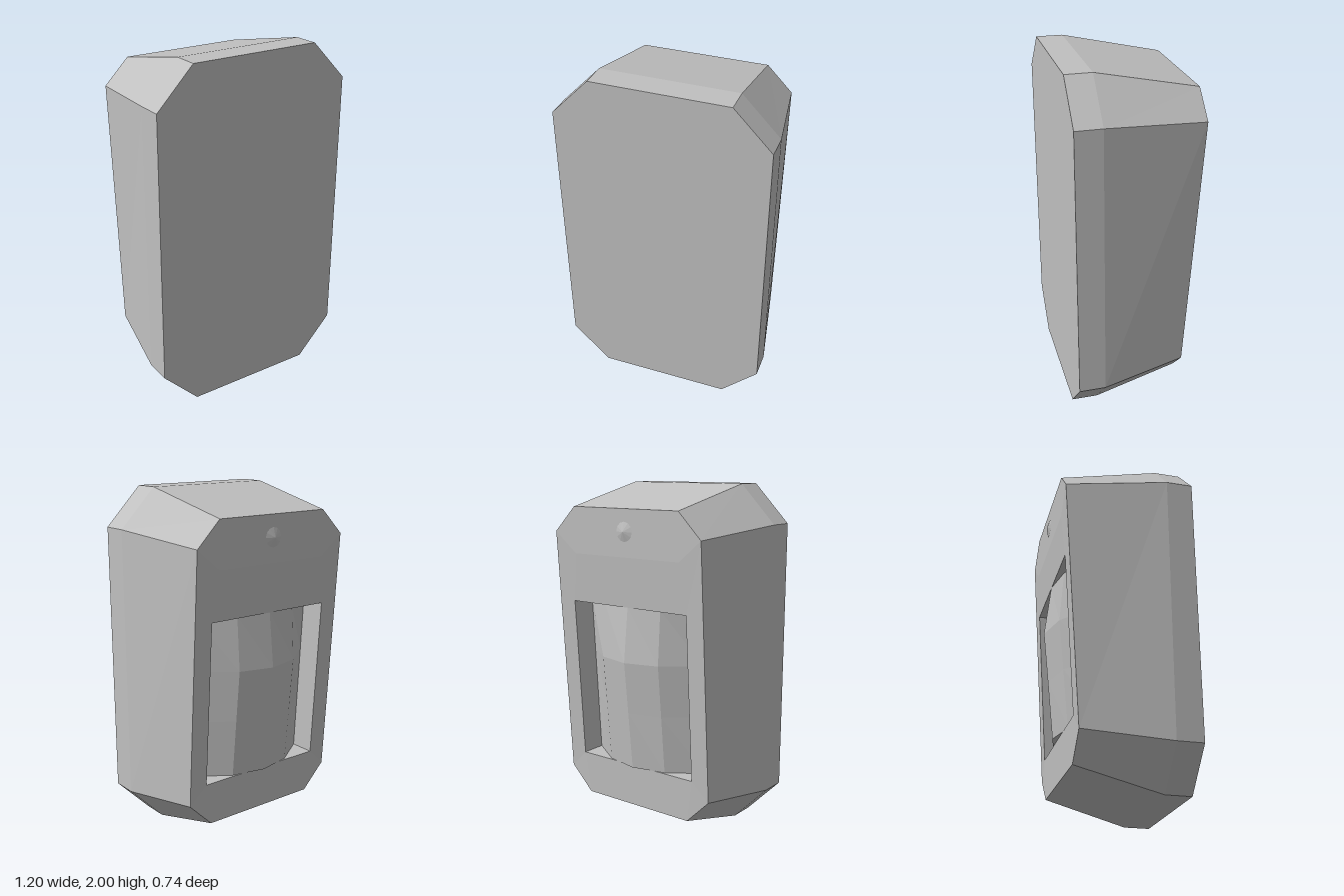
import * as THREE from 'three';

const casing = new THREE.MeshStandardMaterial({ color: 0xc0c0c0, flatShading: true });
casing.name = 'light grey plastic';

// Turns polygons (lists of corner points) into one faceted mesh
function facets(name, polygons) {
  const pos = [];
  for (const p of polygons)
    for (let i = 1; i < p.length - 1; i++) pos.push(...p[0], ...p[i], ...p[i + 1]);
  const g = new THREE.BufferGeometry();
  g.setAttribute('position', new THREE.Float32BufferAttribute(pos, 3));
  g.computeVertexNormals();
  const mesh = new THREE.Mesh(g, casing);
  mesh.name = name;
  return mesh;
}

const flip = ([x, y, z]) => [-x, y, z];
const mirrorFace = (face) => face.map(flip).reverse();

// Right half of an octagon, completed by mirroring
function octagon(half) {
  return [...half, ...half.map(flip).reverse()];
}

export function createModel() {
  const group = new THREE.Group();
  group.name = 'wallSensor';

  // Corners of the sensing face: top, shoulder, crease, window, lower shoulder, bottom
  const T = [0.365, 1.875, -0.355], S = [0.51, 1.73, -0.355], C = [0.365, 1.61, -0.35];
  const W = [0.4, 1.33, -0.329], V = [0.4, 0.38, -0.267];
  const L = [0.51, 0.275, -0.26], B = [0.365, 0.13, -0.26];

  // Housing: straight base that tapers to the sensing face
  const base = (z) => octagon([[0.385, 0, z], [0.6, 0.22, z], [0.6, 1.78, z], [0.385, 2, z]]);
  const rings = [base(0.37), base(0.22), octagon([B, L, S, T])];
  const shell = [rings[0]];
  for (let r = 0; r < 2; r++)
    for (let i = 0; i < 8; i++) {
      const j = (i + 1) % 8;
      shell.push([rings[r][i], rings[r + 1][i], rings[r + 1][j], rings[r][j]]);
    }
  group.add(facets('housing', shell));

  // Frame around the window
  const side = [[T, S, C], [S, W, C], [S, L, V, W], [V, L, B]];
  group.add(facets('windowFrame', [
    [flip(T), T, C, flip(C)],
    [flip(C), C, W, flip(W)],
    [flip(V), V, B, flip(B)],
    ...side, ...side.map(mirrorFace),
  ]));

  // Recess walls
  const depth = 0.15;
  const inside = ([x, y, z]) => [x, y, z + depth];
  const wall = [W, V, inside(V), inside(W)];
  group.add(facets('windowRecess', [
    wall, mirrorFace(wall),
    [flip(W), W, inside(W), inside(flip(W))],
    [V, flip(V), inside(flip(V)), inside(V)],
  ]));

  // Lens: faceted bulge, curved across and peaked along its height
  const rows = [[0.38, -0.298], [0.72, -0.333], [1.02, -0.365], [1.33, -0.33]];
  const point = ([y, peak], c) => {
    const x = -0.4 + 0.2 * c;
    const edge = V[2] + (W[2] - V[2]) * (y - V[1]) / (W[1] - V[1]) + depth;
    return [x, y, edge + (peak - edge) * (1 - (x / 0.4) ** 2)];
  };
  const lens = [];
  for (let r = 0; r < 3; r++)
    for (let c = 0; c < 4; c++)
      lens.push([point(rows[r], c), point(rows[r + 1], c), point(rows[r + 1], c + 1), point(rows[r], c + 1)]);
  // Lower and upper lips closing the lens against the recess
  const lip = (row) => [0, 1, 2, 3, 4].map((c) => point(row, c));
  lens.push(lip(rows[0]), lip(rows[3]).reverse());
  group.add(facets('lens', lens));

  // Indicator light
  const light = new THREE.Mesh(new THREE.ConeGeometry(0.055, 0.016, 12).rotateX(-Math.PI / 2), casing);
  light.name = 'indicatorLight';
  light.position.set(0, 1.75, -0.362);
  group.add(light);

  return group;
}
